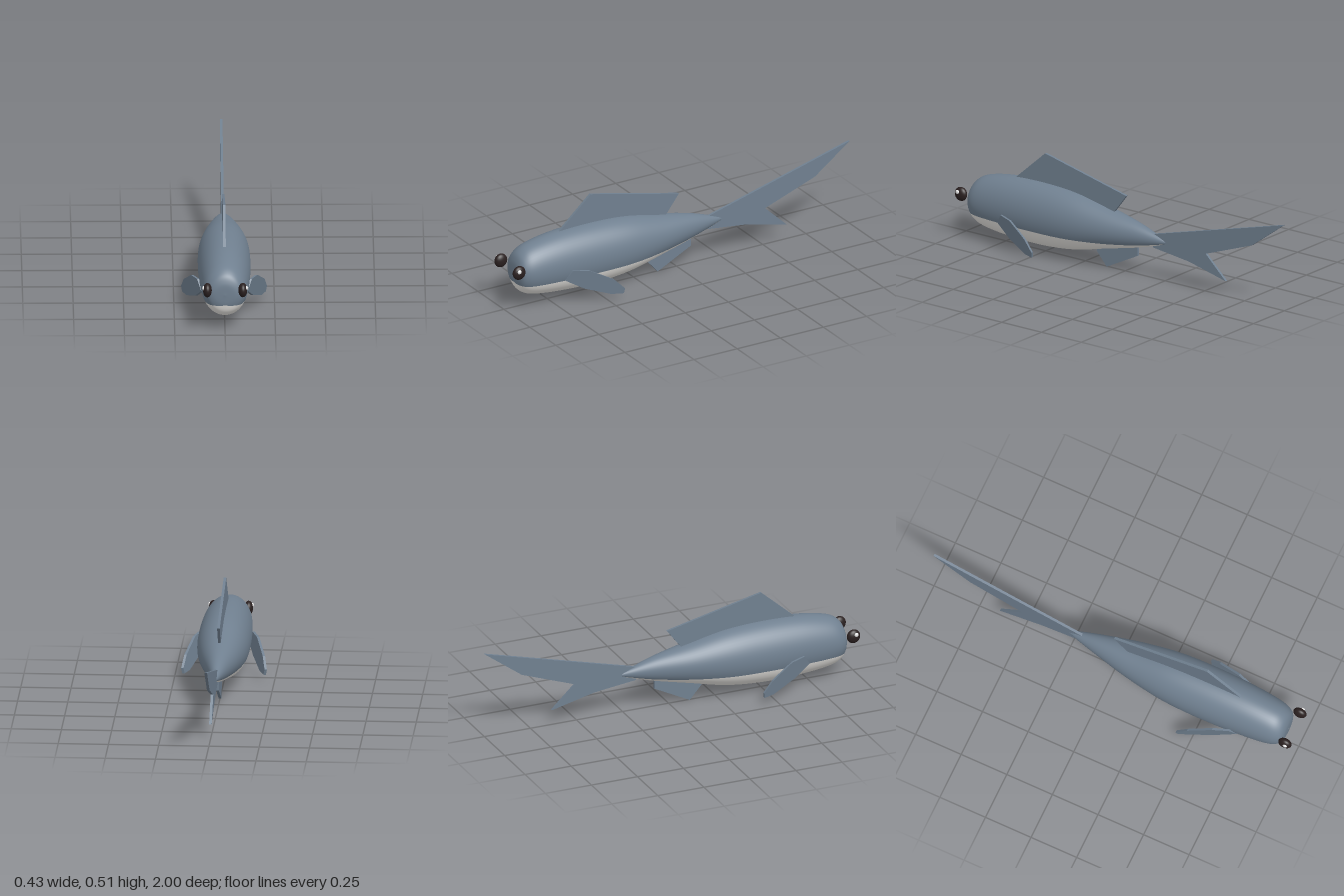
import * as THREE from 'three';

const mat = (name, color, extra = {}) => {
  const m = new THREE.MeshStandardMaterial({ color, ...extra });
  m.name = name;
  return m;
};

// Body stations: z, centre y, half height, half width, height of the belly line
const STATIONS = [
  [0.945, 0.19, 0.001, 0.001, 0.133],
  [0.94, 0.19, 0.06, 0.062, 0.133],
  [0.915, 0.19, 0.105, 0.093, 0.133],
  [0.85, 0.192, 0.135, 0.112, 0.133],
  [0.7, 0.196, 0.156, 0.125, 0.133],
  [0.5, 0.197, 0.162, 0.131, 0.133],
  [0.3, 0.2, 0.147, 0.125, 0.134],
  [0.1, 0.203, 0.104, 0.096, 0.142],
  [-0.08, 0.204, 0.064, 0.055, 0.16],
  [-0.2, 0.202, 0.028, 0.024, 0.182],
  [-0.27, 0.2, 0.003, 0.003, 0.198],
];

// Elliptical rings whose vertices follow the belly line, so the colours part cleanly
function bodyGeometry() {
  const spline = (pick) => new THREE.CatmullRomCurve3(
    STATIONS.map((s) => new THREE.Vector3(...pick(s))), false, 'catmullrom', 0.5);
  const spine = spline((s) => [s[0], s[1], s[2]]);
  const flank = spline((s) => [s[3], s[4], 0]);
  const rings = 80, upper = 36, lower = 24, around = upper + lower;
  const pos = [], back = [], belly = [];
  for (let i = 0; i <= rings; i++) {
    const a = spine.getPoint(i / rings), b = flank.getPoint(i / rings);
    const [z, cy, ry] = [a.x, a.y, Math.max(a.z, 0.001)];
    const rx = Math.max(b.x, 0.001);
    const start = Math.asin(THREE.MathUtils.clamp((b.y - cy) / ry, -1, 1));
    const span = Math.PI - 2 * start;
    for (let j = 0; j < around; j++) {
      const t = j < upper
        ? start + span * j / upper
        : start + span + (2 * Math.PI - span) * (j - upper) / lower;
      pos.push(rx * Math.cos(t), cy + ry * Math.sin(t), z);
    }
  }
  for (let i = 0; i < rings; i++) {
    for (let j = 0; j < around; j++) {
      const k = (j + 1) % around;
      const p = i * around + j, q = p + around;
      const r = i * around + k, s = r + around;
      (j < upper ? back : belly).push(p, q, r, r, q, s);
    }
  }
  const g = new THREE.BufferGeometry();
  g.setAttribute('position', new THREE.Float32BufferAttribute(pos, 3));
  g.setIndex([...back, ...belly]);
  g.addGroup(0, back.length, 0);
  g.addGroup(back.length, belly.length, 1);
  g.computeVertexNormals();
  return g;
}

// Flat plate outlined in (z, y); offset(z, y) leans it sideways
function finGeometry(points, thickness, offset = () => 0) {
  const shape = new THREE.Shape(points.map(([z, y]) => new THREE.Vector2(z, y)));
  const g = new THREE.ExtrudeGeometry(shape, { depth: thickness, bevelEnabled: false });
  g.translate(0, 0, -thickness / 2).rotateY(-Math.PI / 2);
  const p = g.attributes.position;
  for (let i = 0; i < p.count; i++) p.setX(i, p.getX(i) + offset(p.getZ(i), p.getY(i)));
  g.computeVertexNormals();
  return g;
}

export function createModel() {
  const model = new THREE.Group();
  model.name = 'fish';
  const slate = mat('slate', 0x708090);
  const pale = mat('paleBelly', 0xe8e6e2);
  const dark = mat('eyeDark', 0x2a2020);
  const white = mat('eyeWhite', 0xffffff);

  const add = (name, geometry, material) => {
    const m = new THREE.Mesh(geometry, material);
    m.name = name;
    model.add(m);
    return m;
  };

  add('body', bodyGeometry(), [slate, pale]);

  // Fins on the centre line
  add('dorsalFin', finGeometry(
    [[0.69, 0.345], [0.5, 0.513], [-0.01, 0.396], [0.075, 0.285], [0.6, 0.3]], 0.013), slate);
  add('tailFin', finGeometry(
    [[-0.18, 0.232], [-1, 0.45], [-0.8, 0.303], [-0.51, 0.198],
      [-0.635, 0.08], [-0.405, 0.135], [-0.18, 0.162]], 0.013), slate);
  add('analFin', finGeometry(
    [[0.176, 0.072], [0.112, 0], [-0.08, 0.096], [-0.08, 0.16], [0.15, 0.12]], 0.013), slate);

  // Paired side fins and eyes
  const pectoral = [[0.715, 0.135], [0.68, 0.186], [0.6, 0.18], [0.48, 0.118],
    [0.425, 0.063], [0.43, 0.035], [0.49, 0.036], [0.62, 0.08]];
  for (const [side, label] of [[1, 'left'], [-1, 'right']]) {
    add(label + 'PectoralFin', finGeometry(pectoral, 0.012,
      (z, y) => side * (0.356 - 0.37 * z + 0.14 * y)), slate);

    const eye = add(label + 'Eye', new THREE.SphereGeometry(1, 32, 20), dark);
    eye.scale.set(0.022, 0.036, 0.035);
    eye.position.set(side * 0.088, 0.225, 0.965);

    const glint = add(label + 'EyeGlint', new THREE.SphereGeometry(1, 16, 12), white);
    glint.scale.set(0.007, 0.011, 0.011);
    glint.position.set(side * 0.107, 0.238, 0.973);
  }
  return model;
}
